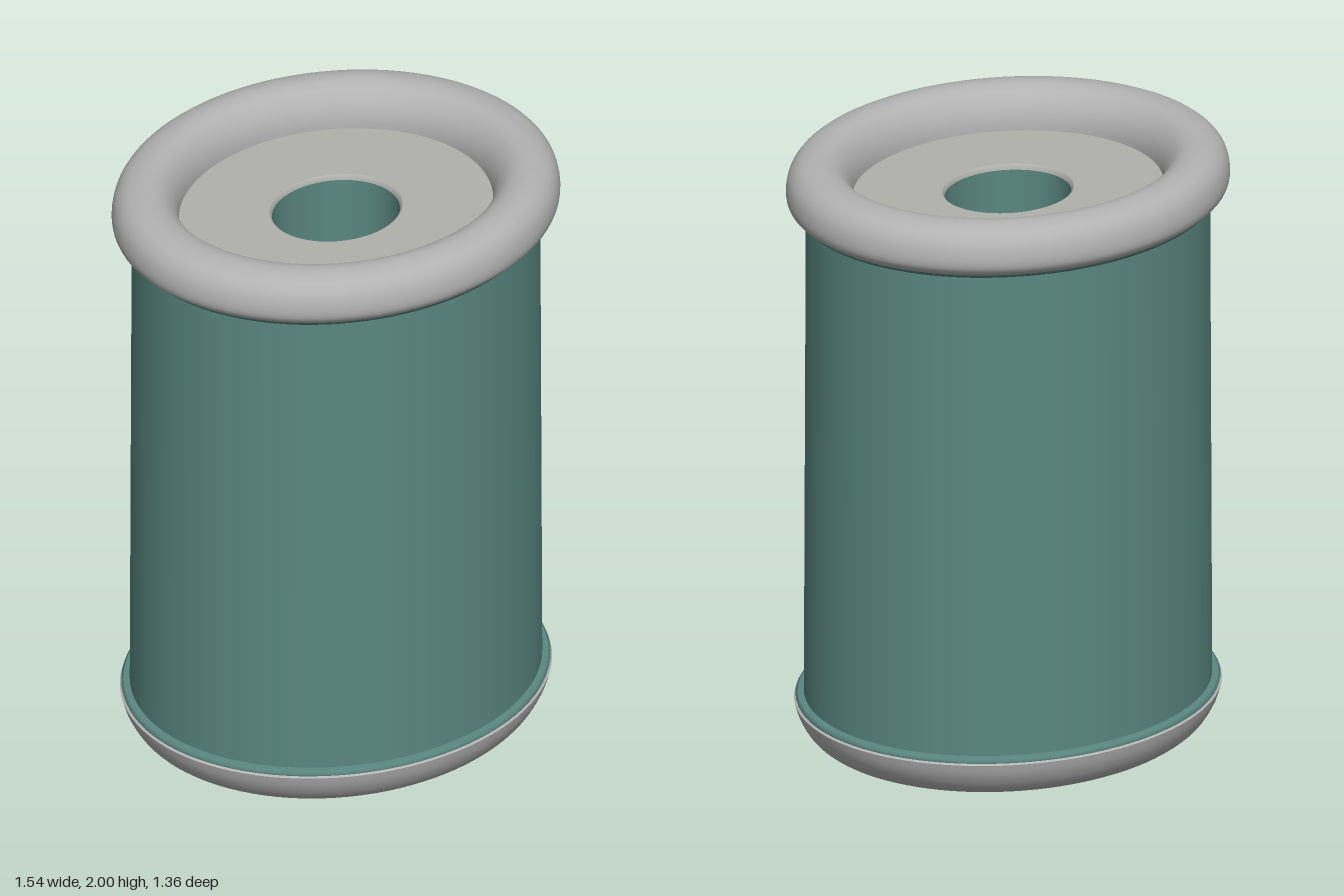
import * as THREE from 'three';
import { mergeGeometries } from 'three/addons/utils/BufferGeometryUtils.js';

const DEPTH = 0.88; // the spool is oval: z radius / x radius
const SEGMENTS = 96;

const teal = new THREE.MeshStandardMaterial({ color: 0x5a8780 });
teal.name = 'teal';
const grey = new THREE.MeshStandardMaterial({ color: 0xb2b2b2 });
grey.name = 'grey';
const discGrey = new THREE.MeshStandardMaterial({ color: 0xb0b1ad });
discGrey.name = 'warm grey';

// Oval lathe; each strip of [radius, y] points is smooth, strips meet at sharp edges.
// Strips run counterclockwise round the solid: up the outside, down the inside.
function ovalLathe(name, material, strips) {
  const parts = strips.map((strip) =>
    new THREE.LatheGeometry(strip.map(([r, y]) => new THREE.Vector2(r, y)), SEGMENTS));
  const geometry = mergeGeometries(parts);
  geometry.scale(1, 1, DEPTH);
  const mesh = new THREE.Mesh(geometry, material);
  mesh.name = name;
  return mesh;
}

// Smooth profile through a few points
function curved(points, divisions = 28) {
  const curve = new THREE.SplineCurve(points.map(([r, y]) => new THREE.Vector2(r, y)));
  return curve.getPoints(divisions).map((p) => [p.x, p.y]);
}

export function createModel() {
  const model = new THREE.Group();
  model.name = 'spool';

  // Outer barrel, very slightly wider at the foot
  model.add(ovalLathe('barrel', teal, [[[0.709, 0.15], [0.702, 1.84]]]));

  // Rolled top rim with an inner slope down to the disc
  model.add(ovalLathe('topRim', grey, [curved([
    [0.735, 1.838], [0.764, 1.862], [0.771, 1.9], [0.758, 1.95], [0.72, 1.986],
    [0.655, 2.0], [0.6, 1.985], [0.562, 1.945], [0.544, 1.9], [0.54, 1.86],
  ])]));

  // Thin collar under the top rim
  model.add(ovalLathe('topCollar', teal, [
    [[0.70, 1.822], [0.725, 1.826], [0.735, 1.838]],
  ]));

  // Recessed top disc with a softened hole edge
  model.add(ovalLathe('topDisc', discGrey, [
    [[0.545, 1.865], [0.23, 1.865]],
    [[0.23, 1.865], [0.223, 1.86], [0.22, 1.845]],
  ]));

  // Bottom flange: plate round the barrel, open at the core
  model.add(ovalLathe('bottomFlange', teal, [
    [[0.26, 0.14], [0.735, 0.14]],
    [[0.735, 0.14], [0.738, 0.15], [0.73, 0.158]],
    [[0.73, 0.158], [0.70, 0.16]],
  ]));

  // Rounded bottom rim
  model.add(ovalLathe('bottomRim', grey, [
    curved([
      [0.385, 0.14], [0.39, 0.085], [0.425, 0.038], [0.485, 0.009], [0.55, 0],
      [0.63, 0.005], [0.69, 0.038], [0.727, 0.09], [0.743, 0.137],
    ]),
    [[0.743, 0.137], [0.735, 0.142]],
  ]));

  // Hollow core, with a pale lip at its lower end
  model.add(ovalLathe('core', teal, [
    [[0.22, 1.848], [0.22, 0.2], [0.235, 0.085]],
    [[0.265, 0.085], [0.265, 0.15]],
  ]));
  model.add(ovalLathe('coreLip', grey, [
    [[0.235, 0.085], [0.243, 0.078], [0.257, 0.078], [0.265, 0.085]],
  ]));

  return model;
}
